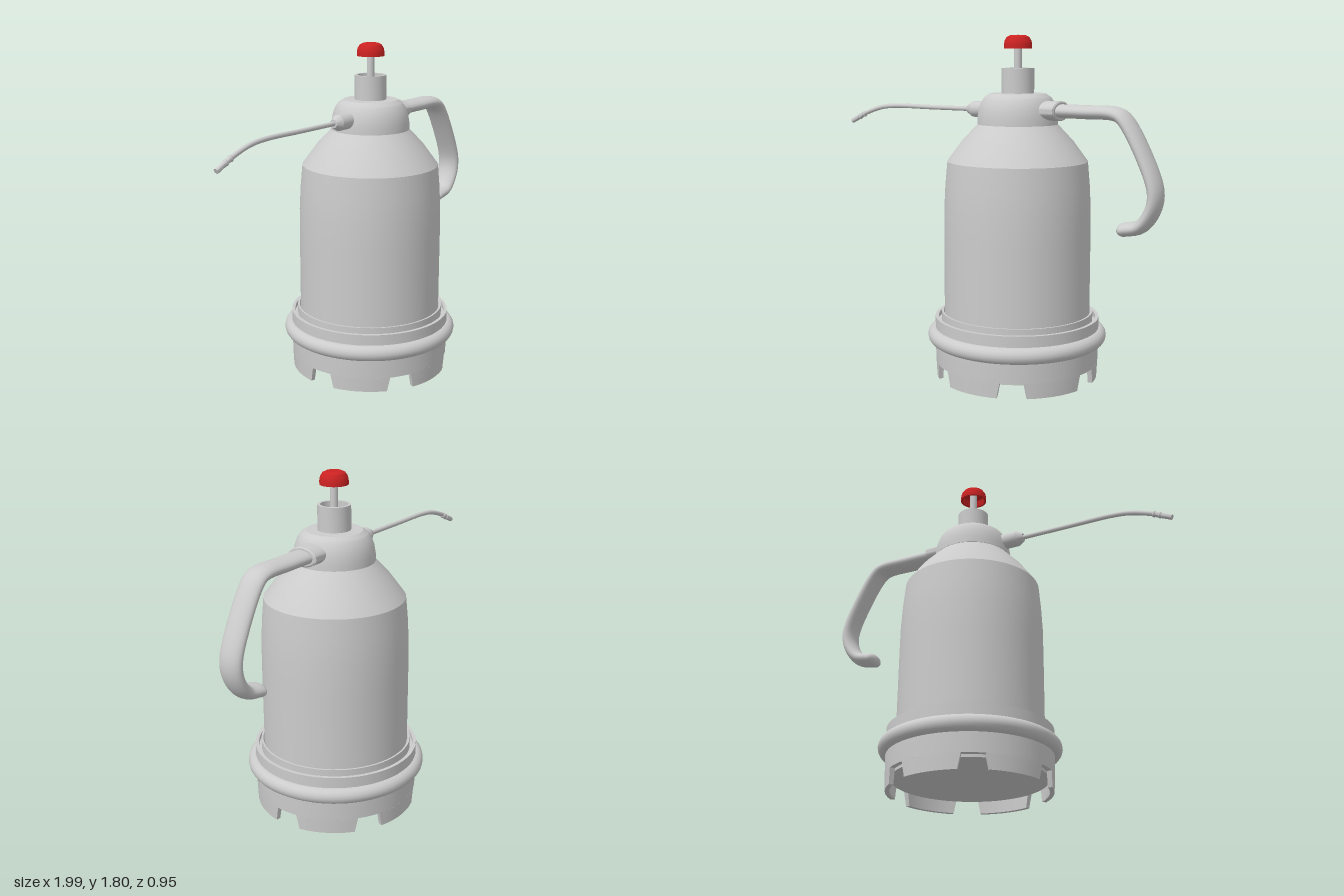
import * as THREE from 'three';
import { toCreasedNormals } from 'three/addons/utils/BufferGeometryUtils.js';

const grey = new THREE.MeshStandardMaterial({ color: 0xcccccc });
const red = new THREE.MeshStandardMaterial({ color: 0xcc2222 });
const AXIS = 0.165; // x of the bottle's axis

export function createModel() {
  const model = new THREE.Group();

  const add = (name, geometry, x = AXIS, y = 0, material = grey) => {
    const mesh = new THREE.Mesh(geometry, material);
    mesh.name = name;
    mesh.position.set(x, y, 0);
    model.add(mesh);
    return mesh;
  };
  // Profile of [radius, height], turned about the bottle's axis
  const turned = (profile, segments = 64) => toCreasedNormals(
    new THREE.LatheGeometry(profile.map(([r, y]) => new THREE.Vector2(r, y)), segments), 0.4);
  const path = (points) => new THREE.CatmullRomCurve3(points.map(([x, y]) => new THREE.Vector3(x, y, 0)));

  // Base cup with a groove around its upper rim
  add('base', turned([
    [0, 0.065], [0.405, 0.065], [0.405, 0.08], [0.432, 0.08], [0.435, 0.18], [0.435, 0.325],
    [0.417, 0.325], [0.417, 0.3], [0.402, 0.3], [0.402, 0.352], [0.392, 0.352], [0.38, 0.33]]));
  const bumper = add('bumperRing', new THREE.TorusGeometry(0.432, 0.043, 16, 72), AXIS, 0.225);
  bumper.rotation.x = Math.PI / 2;

  // Six curved feet with tapered gaps between them
  const feet = new THREE.Group();
  feet.name = 'feet';
  feet.position.x = AXIS;
  const foot = new THREE.BoxGeometry(2, 1, 1, 10, 1, 1);
  const p = foot.attributes.position;
  for (let i = 0; i < p.count; i++) {
    const top = p.getY(i) > 0;
    const angle = p.getX(i) * (Math.PI / 6 - (top ? 0.14 : 0.18));
    const radius = p.getZ(i) > 0 ? (top ? 0.432 : 0.428) : 0.405;
    p.setXYZ(i, radius * Math.sin(angle), top ? 0.08 : 0, radius * Math.cos(angle));
  }
  const footGeometry = toCreasedNormals(foot, 0.5);
  for (let i = 0; i < 6; i++) {
    const mesh = new THREE.Mesh(footGeometry, grey);
    mesh.name = 'foot';
    mesh.rotation.y = i * Math.PI / 3;
    feet.add(mesh);
  }
  model.add(feet);

  // Bottle, cap, pump neck, rod and button
  add('bottle', turned([
    [0, 0.3], [0.386, 0.3], [0.386, 0.75], [0.385, 0.9], [0.378, 1.03], [0.367, 1.15],
    [0.29, 1.255], [0.205, 1.345], [0, 1.36]]));
  add('cap', turned([
    [0, 1.342], [0.21, 1.342], [0.209, 1.38], [0.202, 1.42], [0.19, 1.455],
    [0.172, 1.482], [0.145, 1.5], [0, 1.503]]));
  add('pumpNeck', turned([
    [0.085, 1.49], [0.085, 1.63], [0.07, 1.63], [0.07, 1.53], [0, 1.53]], 40));
  add('pumpRod', new THREE.CylinderGeometry(0.02, 0.02, 0.27, 24), AXIS, 1.645);
  add('pumpButton', turned([
    [0, 1.772], [0.055, 1.765], [0.063, 1.73], [0.073, 1.73], [0.073, 1.75], [0.069, 1.77],
    [0.058, 1.788], [0.04, 1.797], [0, 1.799]], 40), AXIS, 0, red);

  // Spout: fitting on the cap, thin bent pipe and a collared tip
  const fitting = turned([
    [0, -0.02], [0.042, -0.02], [0.042, 0.13], [0.022, 0.165], [0, 0.165]], 24);
  add('spoutFitting', fitting, 0.015, 1.41).rotation.z = Math.PI / 2;
  const pipe = path([
    [-0.14, 1.41], [-0.4, 1.41], [-0.66, 1.41], [-0.76, 1.4], [-0.85, 1.375], [-0.93, 1.343], [-0.99, 1.314]]);
  add('spoutPipe', new THREE.TubeGeometry(pipe, 60, 0.0125, 12), 0);
  const tip = turned([
    [0, 0], [0.014, 0], [0.018, 0.008], [0.014, 0.016], [0.014, 0.035], [0.018, 0.043],
    [0.014, 0.051], [0.014, 0.11], [0, 0.11]], 16);
  add('spoutTip', tip, -0.893, 1.359).rotation.z = Math.PI / 2 + 0.44;

  // Handle: flattened collar and a hooked grip with a rounded end
  const collar = turned([
    [0, 0], [0.05, 0], [0.05, 0.115], [0.044, 0.12], [0, 0.12]], 32);
  collar.scale(1, 1, 1.72);
  add('handleCollar', collar, 0.31, 1.417).rotation.z = -Math.PI / 2;
  const grip = path([
    [0.4, 1.417], [0.57, 1.417], [0.74, 1.413], [0.785, 1.39], [0.9, 1.205],
    [0.96, 1.045], [0.947, 0.955], [0.885, 0.872], [0.8, 0.849]]);
  const FLATTEN = 1.88;
  add('handleGrip', new THREE.TubeGeometry(grip, 72, 0.035, 24).scale(1, 1, FLATTEN), 0);
  add('handleEnd', new THREE.SphereGeometry(0.035, 24, 16).scale(1, 1, FLATTEN), 0.8, 0.849);

  return model;
}
